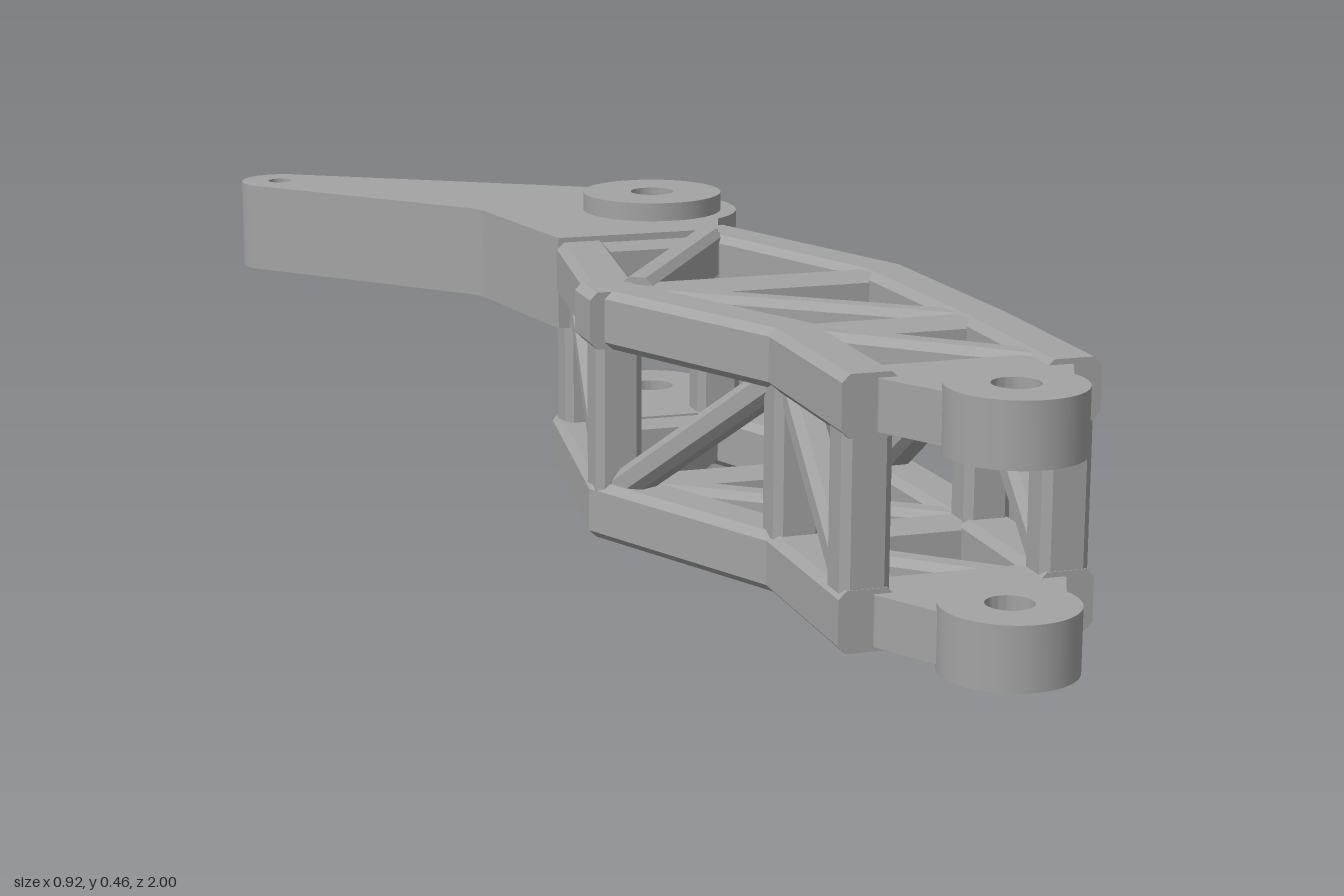
import * as THREE from 'three';
import { toCreasedNormals } from 'three/addons/utils/BufferGeometryUtils.js';

const V = (x, y, z) => new THREE.Vector3(x, y, z);

// Sweep a chamfered rectangle along a mitred path.
function beamGeometry(path, width, height, up = V(0, 1, 0), c = 0.012) {
  const w = width / 2, h = height / 2;
  const section = [[w, -h + c], [w, h - c], [w - c, h], [-w + c, h],
    [-w, h - c], [-w, -h + c], [-w + c, -h], [w - c, -h]];
  const dirs = path.slice(1).map((p, i) => p.clone().sub(path[i]).normalize());
  const rings = path.map((p, i) => {
    const d0 = dirs[Math.max(i - 1, 0)], d1 = dirs[Math.min(i, dirs.length - 1)];
    const s0 = up.clone().cross(d0).normalize(), s1 = up.clone().cross(d1).normalize();
    const side = s0.clone().add(s1).normalize();
    const u = d0.clone().add(d1).normalize().cross(side).normalize();
    const miter = 1 / side.dot(s0);
    return section.map(([a, b]) => p.clone().addScaledVector(side, a * miter).addScaledVector(u, b));
  });
  const pos = [], n = section.length;
  const tri = (...pts) => pts.forEach((p) => pos.push(p.x, p.y, p.z));
  for (let k = 0; k < rings.length - 1; k++) {
    for (let i = 0; i < n; i++) {
      const j = (i + 1) % n, A = rings[k], B = rings[k + 1];
      tri(A[i], A[j], B[j]);
      tri(A[i], B[j], B[i]);
    }
  }
  const first = rings[0], last = rings[rings.length - 1];
  for (let i = 1; i < n - 1; i++) {
    tri(first[0], first[i + 1], first[i]);
    tri(last[0], last[i], last[i + 1]);
  }
  const g = new THREE.BufferGeometry();
  g.setAttribute('position', new THREE.Float32BufferAttribute(pos, 3));
  g.computeVertexNormals();
  return g;
}

// Horizontal plate from a plan shape whose second axis is -z.
function plateGeometry(shape, y0, y1) {
  const g = new THREE.ExtrudeGeometry(shape, { depth: y1 - y0, bevelEnabled: false, curveSegments: 28 });
  g.rotateX(-Math.PI / 2).translate(0, y0, 0);
  return toCreasedNormals(g, 0.5);
}

function addHole(shape, x, y, r) {
  shape.holes.push(new THREE.Path().absarc(x, y, r, 0, Math.PI * 2, true));
  return shape;
}

const ring = (x, y, r, hole) => addHole(new THREE.Shape().absarc(x, y, r, 0, Math.PI * 2), x, y, hole);
const rad = THREE.MathUtils.degToRad;

export function createModel() {
  const group = new THREE.Group();
  const grey = new THREE.MeshStandardMaterial({ color: 0xa3a3a3 });
  grey.name = 'plain grey';
  const add = (name, geometry) => {
    const m = new THREE.Mesh(geometry, grey);
    m.name = name;
    group.add(m);
  };

  // Plan positions (x, z) of the truss joints, back to front
  const right = [[0.0, -0.27], [-0.06, 0.12], [0.11, 0.47], [0.11, 0.745]];
  const left = [[0.235, -0.27], [0.395, 0.1], [0.413, 0.47], [0.413, 0.745]];
  const low = 0.06, high = 0.37;

  for (const [level, y] of [['lower', low], ['upper', high]]) {
    // Chords, run slightly past the end joints
    for (const [side, pts] of [['right', right], ['left', left]]) {
      const path = pts.map(([x, z]) => V(x, y, z));
      path[0].z -= 0.035;
      path[3].z += 0.035;
      add(`${level} ${side} chord`, beamGeometry(path, 0.085, 0.092));
    }
    // Cross bars
    for (const [x0, x1, z] of [[0, 0.235, -0.245], [-0.05, 0.39, 0.115], [0.11, 0.41, 0.47]]) {
      add(`${level} cross bar`, beamGeometry([V(x0, y, z), V(x1, y, z)], 0.06, 0.085));
    }
    // Plan diagonals
    const diagonals = [[-0.02, 0.11, 0.215, -0.25], [-0.01, 0.13, 0.39, 0.435], [0.13, 0.47, 0.4, 0.72]];
    diagonals.forEach(([x0, z0, x1, z1], i) => {
      let dy = 0;
      if (level === 'upper' && i === 0) dy = 0.012;
      if (level === 'lower' && i === 2) dy = -0.0175;
      add(`${level} diagonal`, beamGeometry([V(x0, y + dy, z0), V(x1, y + dy, z1)], 0.052, 0.085));
    });
    // Front lug with its web
    const cx = 0.272, cy = -0.9;
    const web = new THREE.Shape();
    web.moveTo(0.41, -0.71);
    web.lineTo(0.12, -0.71);
    web.lineTo(0.12, -0.785);
    web.absarc(cx, cy, 0.095, rad(170), rad(370), false);
    web.lineTo(0.41, -0.785);
    add(`${level} front web`, plateGeometry(addHole(web, cx, cy, 0.035), y - 0.038, y + 0.038));
    add(`${level} front lug`, plateGeometry(ring(cx, cy, 0.1, 0.035), y - 0.048, y + 0.048));
  }

  // Posts and side diagonals
  for (const [side, pts] of [['right', right], ['left', left]]) {
    pts.forEach(([x, z]) => {
      add(`${side} post`, beamGeometry([V(x, low, z), V(x, high, z)], 0.068, 0.075, V(1, 0, 0)));
    });
    for (let i = 0; i < 3; i++) {
      const rising = i === 1; // rises toward the front
      const a = V(pts[i][0], rising ? low + 0.02 : high - 0.02, pts[i][1]);
      const b = V(pts[i + 1][0], rising ? high - 0.02 : low + 0.02, pts[i + 1][1]);
      const outward = V(b.z - a.z, 0, a.x - b.x).normalize();
      add(`${side} side diagonal`, beamGeometry([a, b], 0.048, 0.055, outward));
    }
  }
  // Joint collar on the outer right corner
  add('corner collar', beamGeometry([V(-0.066, high, 0.075), V(-0.066, high, 0.16)], 0.09, 0.09));

  // Rear hinge and swept arm
  const hx = 0.18, hy = 0.455;
  const finishArm = (s) => {
    s.lineTo(-0.355, 0.99);
    s.absarc(-0.39, 0.93, 0.07, rad(60), rad(225), false);
    s.lineTo(-0.13, 0.56);
    s.quadraticCurveTo(-0.11, 0.54, -0.105, 0.51);
    s.lineTo(-0.05, 0.24);
    return addHole(s, -0.39, 0.93, 0.021);
  };
  const top = new THREE.Shape();
  top.moveTo(-0.05, 0.24);
  top.lineTo(0.23, 0.24);
  top.lineTo(0.26, 0.33);
  top.absarc(hx, hy, 0.147, rad(-57), rad(48), false);
  top.lineTo(0.3, 0.6);
  add('arm upper layer', plateGeometry(addHole(finishArm(top), hx, hy, 0.037), 0.318, 0.424));

  const under = new THREE.Shape();
  under.moveTo(-0.05, 0.24);
  under.lineTo(0.0, 0.24);
  under.lineTo(0.01, 0.3);
  under.absarc(hx, hy, 0.22, rad(222), rad(91.5), true);
  add('arm lower layer', plateGeometry(finishArm(under), 0.27, 0.318));
  add('hinge boss', plateGeometry(ring(hx, hy, 0.12, 0.037), 0.42, 0.455));

  // Lower rear lug
  const rear = new THREE.Shape();
  rear.moveTo(0.0, 0.24);
  rear.lineTo(0.24, 0.24);
  rear.lineTo(0.272, 0.33);
  rear.absarc(hx, hy, 0.115, rad(-15), rad(195), false);
  rear.lineTo(0.02, 0.31);
  add('lower rear lug', plateGeometry(addHole(rear, hx, hy, 0.037), 0.012, 0.106));

  return group;
}
